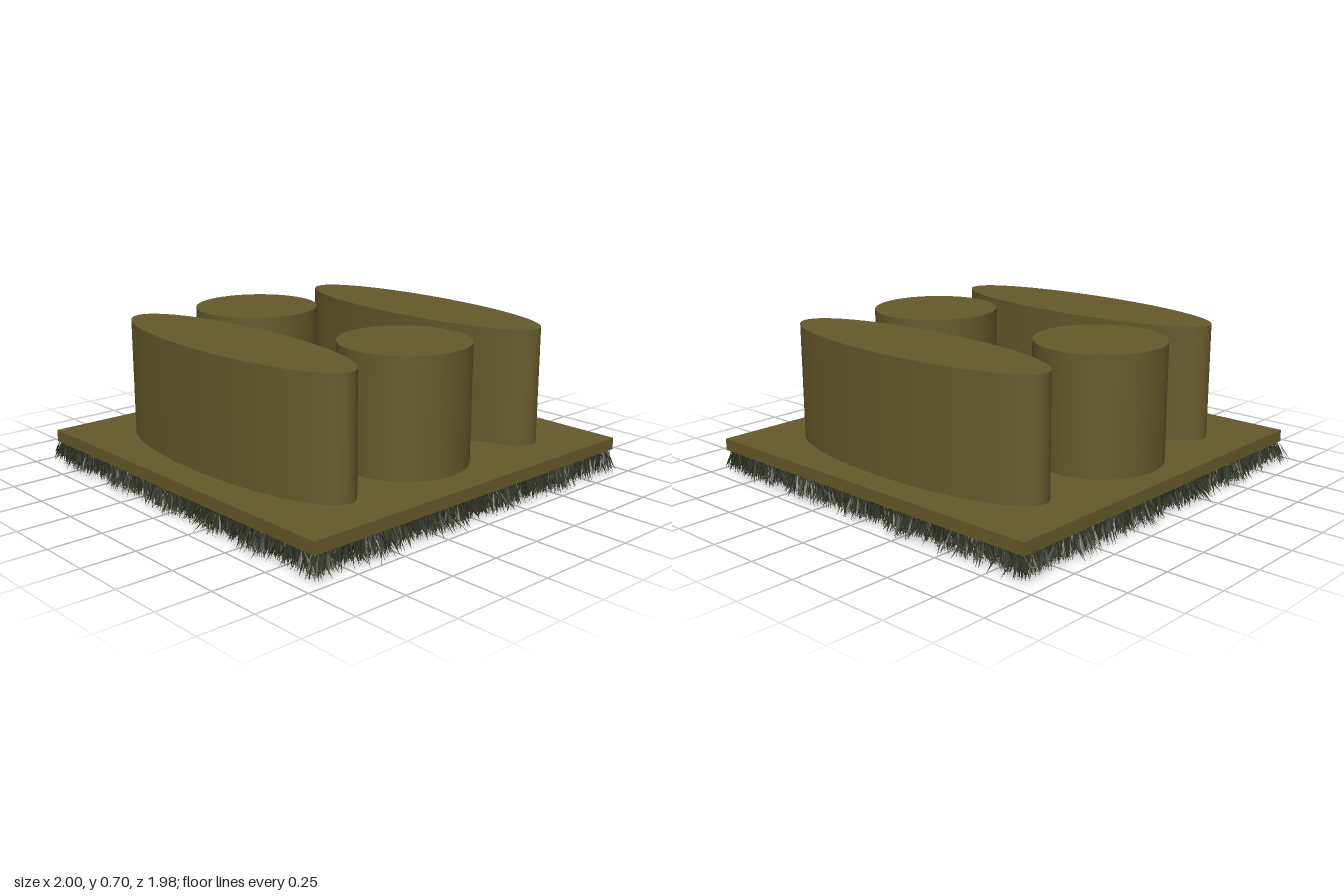
import * as THREE from 'three';

const SLAB = { x0: -0.915, x1: 0.945, z0: -0.943, z1: 0.923, bottom: 0.107, top: 0.163 };
const PEG_TOP = 0.705;
const SEGMENTS = 96;

// Hollow pegs: centre and radii on the ground plane
const PEGS = [
  { name: 'backOvalPeg', x: 0.016, z: -0.587, rx: 0.733, rz: 0.223 },
  { name: 'frontOvalPeg', x: 0.016, z: 0.556, rx: 0.733, rz: 0.223 },
  { name: 'rightRoundPeg', x: -0.515, z: 0.011, rx: 0.296, rz: 0.296 },
  { name: 'leftRoundPeg', x: 0.501, z: 0.011, rx: 0.296, rz: 0.296 },
];

function seededRandom(seed) {
  return () => {
    seed = (seed * 1664525 + 1013904223) % 4294967296;
    return seed / 4294967296;
  };
}

// Flat slab with an opening under every peg
function createSlab(material) {
  const { x0, x1, z0, z1, bottom, top } = SLAB;
  const shape = new THREE.Shape([
    new THREE.Vector2(x0, -z1), new THREE.Vector2(x1, -z1),
    new THREE.Vector2(x1, -z0), new THREE.Vector2(x0, -z0),
  ]);
  for (const p of PEGS) {
    const hole = new THREE.Path();
    hole.absellipse(p.x, -p.z, p.rx, p.rz, 0, Math.PI * 2, true);
    shape.holes.push(hole);
  }
  const geometry = new THREE.ExtrudeGeometry(shape, {
    depth: top - bottom, bevelEnabled: false, curveSegments: SEGMENTS / 2,
  });
  geometry.rotateX(-Math.PI / 2).translate(0, bottom, 0);
  const slab = new THREE.Mesh(geometry, material);
  slab.name = 'slab';
  return slab;
}

// Thin wall and lid, open underneath
function createPeg(p, material) {
  const height = PEG_TOP - SLAB.top;
  const wall = new THREE.Mesh(
    new THREE.CylinderGeometry(1, 1, height, SEGMENTS, 1, true).translate(0, SLAB.top + height / 2, 0), material);
  wall.name = 'wall';
  const lid = new THREE.Mesh(
    new THREE.CircleGeometry(1, SEGMENTS).rotateX(-Math.PI / 2).translate(0, PEG_TOP, 0), material);
  lid.name = 'lid';
  const peg = new THREE.Group();
  peg.name = p.name;
  peg.add(wall, lid);
  peg.position.set(p.x, 0, p.z);
  peg.scale.set(p.rx, 1, p.rz);
  return peg;
}

// Dense leaf-shaped bristles hanging from the slab around the openings
function createBristles(material, count) {
  const random = seededRandom(7);
  const spread = () => random() + random() + random() - 1.5;
  const inOpening = (x, z) => PEGS.some(
    (p) => ((x - p.x) / p.rx) ** 2 + ((z - p.z) / p.rz) ** 2 < 1);
  const positions = [];
  const indices = [];
  for (let made = 0; made < count;) {
    const x = THREE.MathUtils.lerp(SLAB.x0, SLAB.x1, random());
    const z = THREE.MathUtils.lerp(SLAB.z0, SLAB.z1, random());
    if (inOpening(x, z)) continue;
    // Neighbouring bristles lean together in tufts
    const leanX = 0.045 * spread() + 0.012 * Math.sin(17 * z + 5 * x);
    const leanZ = 0.035 * spread() + 0.012 * Math.sin(19 * x - 4 * z);
    const drop = 0.07 + 0.03 * random();
    const angle = random() * Math.PI * 2;
    const wx = 0.005 * Math.cos(angle);
    const wz = 0.005 * Math.sin(angle);
    const mx = x + leanX * 0.6, my = SLAB.bottom - drop * 0.5, mz = z + leanZ * 0.6;
    const v = positions.length / 3;
    positions.push(
      x, SLAB.bottom, z,
      mx - wx, my, mz - wz,
      mx + wx, my, mz + wz,
      x + leanX * 1.3, SLAB.bottom - drop, z + leanZ * 1.3);
    indices.push(v, v + 1, v + 2, v + 2, v + 1, v + 3);
    made++;
  }
  // Longest bristles just touch the ground
  for (let i = 1; i < positions.length; i += 3) {
    positions[i] = SLAB.bottom - (SLAB.bottom - positions[i]) * 1.07;
  }
  const geometry = new THREE.BufferGeometry();
  geometry.setAttribute('position', new THREE.Float32BufferAttribute(positions, 3));
  geometry.setIndex(indices);
  geometry.computeVertexNormals();
  const bristles = new THREE.Mesh(geometry, material);
  bristles.name = 'bristles';
  return bristles;
}

export function createModel() {
  const body = new THREE.MeshStandardMaterial({ color: 0x665a2a, side: THREE.DoubleSide });
  const bristle = new THREE.MeshStandardMaterial({ color: 0x34382a, side: THREE.DoubleSide });

  const model = new THREE.Group();
  model.name = 'brushBlock';
  model.add(createSlab(body));
  for (const p of PEGS) model.add(createPeg(p, body));
  model.add(createBristles(bristle, 32000));
  return model;
}
